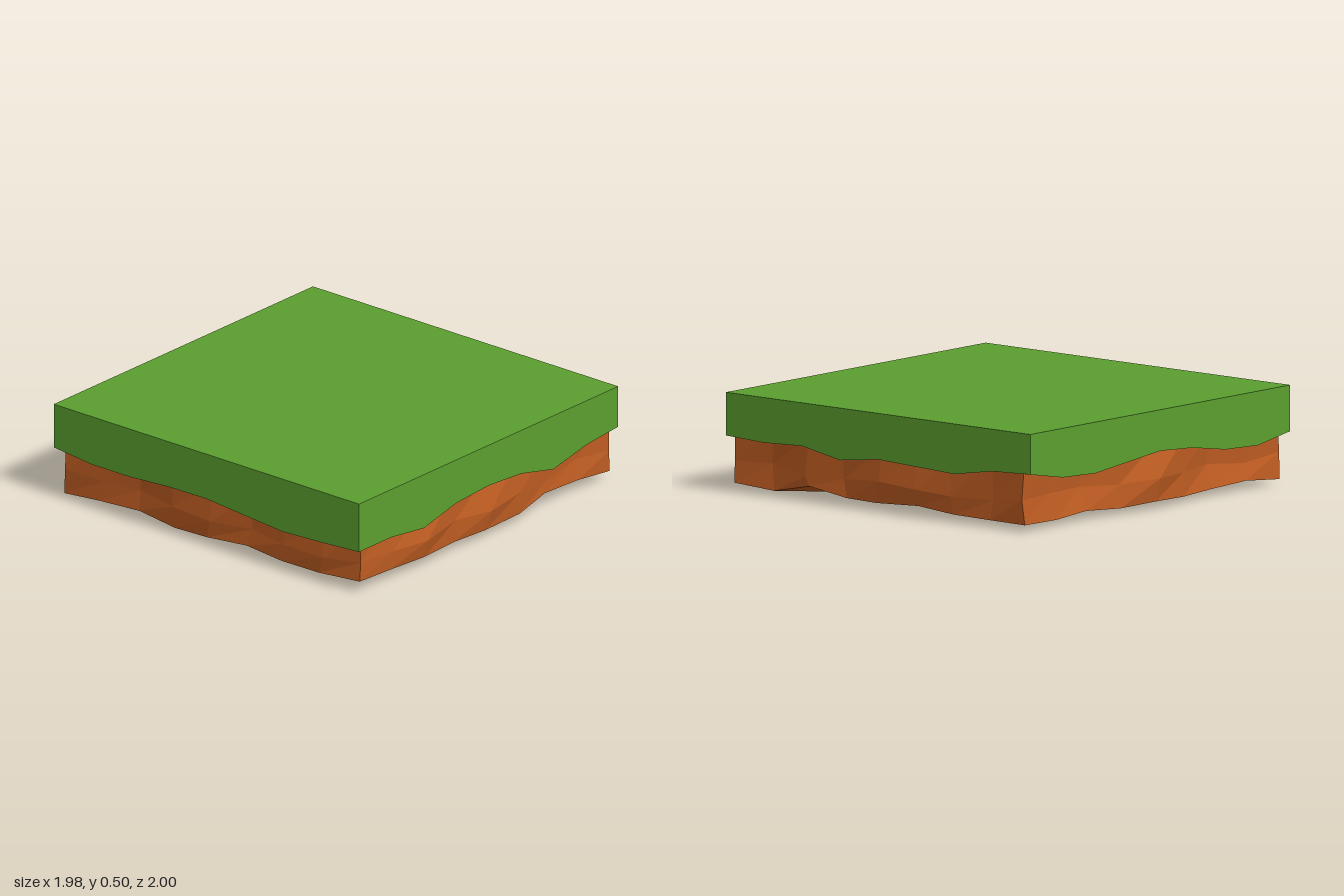
import * as THREE from 'three';

const N = 8; // grid cells along each side

// Values at the nine grid points of each side, from -x to +x or from -z to +z
const grassEdge = {
  front: [0.24, 0.24, 0.21, 0.265, 0.28, 0.265, 0.21, 0.26, 0.28],
  back: [0.265, 0.225, 0.235, 0.275, 0.29, 0.265, 0.24, 0.25, 0.295],
  right: [0.295, 0.285, 0.245, 0.255, 0.265, 0.235, 0.28, 0.27, 0.28],
  left: [0.265, 0.24, 0.24, 0.255, 0.257, 0.235, 0.215, 0.225, 0.24],
};
const soilBulge = {
  front: [0.95, 0.965, 0.995, 0.955, 0.995, 0.965, 0.94, 0.91, 0.95],
  back: [0.93, 0.9, 0.89, 0.94, 1.0, 0.93, 0.89, 0.9, 0.92],
  right: [0.965, 0.95, 0.97, 0.985, 0.975, 0.94, 0.96, 0.93, 0.945],
  left: [0.97, 0.95, 0.93, 0.96, 0.975, 0.94, 0.96, 0.97, 0.94],
};
const soilFoot = {
  front: [0.06, 0.055, 0.05, 0.045, 0.045, 0.04, 0.08, 0.06, 0.045],
  back: [0.025, 0.045, 0.035, 0.03, 0.04, 0.03, 0.045, 0.03, 0.035],
  right: [0.035, 0.035, 0.04, 0.06, 0.045, 0.045, 0.08, 0.03, 0.045],
  left: [0.025, 0.04, 0.05, 0.03, 0.04, 0.055, 0.04, 0.045, 0.06],
};

// Repeatable value from 0 to 1 for a grid point
function hash(i, j, k) {
  const s = Math.sin(i * 127.1 + j * 311.7 + k * 74.7) * 43758.5453;
  return s - Math.floor(s);
}

// Table value for a border point, or the fallback inside the border
function border(table, i, k, inside) {
  if (k === N) return table.front[i];
  if (k === 0) return table.back[i];
  if (i === N) return table.right[k];
  if (i === 0) return table.left[k];
  return inside;
}

// Subdivided block whose grid points are placed by a rule(i, j, k)
function ruledBlock(name, color, levels, rule) {
  const geo = new THREE.BoxGeometry(N, levels, N, N, levels, N);
  const pos = geo.attributes.position;
  for (let v = 0; v < pos.count; v++) {
    const i = Math.round(pos.getX(v) + N / 2);
    const j = Math.round(pos.getY(v) + levels / 2);
    const k = Math.round(pos.getZ(v) + N / 2);
    pos.setXYZ(v, ...rule(i, j, k));
  }
  geo.computeVertexNormals();
  const mesh = new THREE.Mesh(geo, new THREE.MeshStandardMaterial({ color, flatShading: true }));
  mesh.name = name;
  return mesh;
}

// Grass slab: flat top, straight walls, wavy lower edge
function grassPoint(i, j, k) {
  const x = -0.99 + (i / N) * 1.967;
  const z = -0.985 + (k / N) * 1.967;
  return [x, j === 1 ? 0.495 : border(grassEdge, i, k, 0.285), z];
}

// Soil: rough walls bulging at mid height, gently uneven underside
function soilPoint(i, j, k) {
  let x = -0.955 + (i / N) * 1.91;
  let z = -0.95 + (k / N) * 1.9;
  const wobble = (hash(i, j, k) - 0.5) * 0.04;
  if (i > 0 && i < N) x += wobble;
  if (k > 0 && k < N) z += (hash(k, j + 5, i) - 0.5) * 0.04;

  // The foot follows the bulge partly, the buried top only follows hollows
  const shift = (d) => [d * 0.5, d, Math.min(d, 0) * 0.8][j];
  if (k === N) z += shift(soilBulge.front[i] - 0.95);
  if (k === 0) z -= shift(soilBulge.back[i] - 0.95);
  if (i === N) x += shift(soilBulge.right[k] - 0.955);
  if (i === 0) x -= shift(soilBulge.left[k] - 0.955);

  if (j === 2) return [x, 0.32, z];
  if (j === 1) return [x, 0.145 + wobble, z];
  if (i === 7 && k === 7) return [x, 0, z]; // lowest point
  const dip = i % 2 === 1 && i > 1 ? 0.014 : 0;
  return [x, border(soilFoot, i, k, 0.03 + 0.012 * hash(i, 9, k) - dip), z];
}

export function createModel() {
  const group = new THREE.Group();
  group.name = 'groundTile';
  group.add(ruledBlock('grass', 0x5b9f2f, 1, grassPoint));
  group.add(ruledBlock('soil', 0xbe5c22, 2, soilPoint));
  return group;
}
